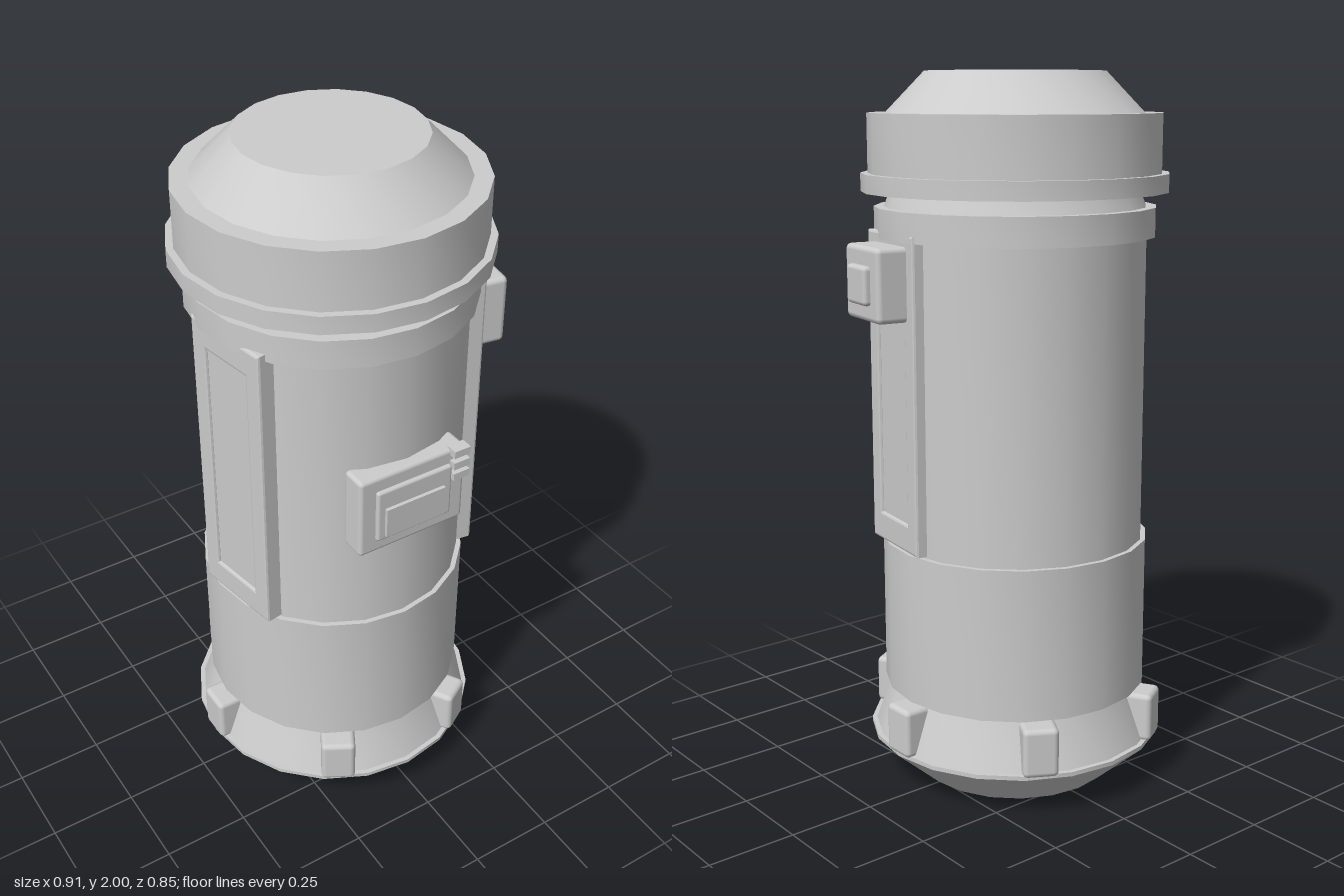
import * as THREE from 'three';
import { toCreasedNormals } from 'three/addons/utils/BufferGeometryUtils.js';
import { RoundedBoxGeometry } from 'three/addons/geometries/RoundedBoxGeometry.js';

const grey = new THREE.MeshStandardMaterial({ color: 0xcccccc });
grey.name = 'light grey';

function add(parent, name, geometry, x = 0, y = 0, z = 0) {
  const mesh = new THREE.Mesh(geometry, grey);
  mesh.name = name;
  mesh.position.set(x, y, z);
  parent.add(mesh);
  return mesh;
}

// Turned part with 20 sides: smooth around, sharp at the rims
function turned(parent, name, profile) {
  const points = profile.map(([r, y]) => new THREE.Vector2(r, y));
  return add(parent, name, toCreasedNormals(new THREE.LatheGeometry(points, 20), 0.5));
}

// Soft-edged block given by its bounds
function block(parent, name, x0, x1, y0, y1, z0, z1, radius = 0.012) {
  const geometry = new RoundedBoxGeometry(x1 - x0, y1 - y0, z1 - z0, 2, radius);
  return add(parent, name, geometry, (x0 + x1) / 2, (y0 + y1) / 2, (z0 + z1) / 2);
}

function outline(PathType, x0, x1, y0, y1) {
  return new PathType().moveTo(x0, y0).lineTo(x1, y0).lineTo(x1, y1).lineTo(x0, y1).closePath();
}

// Flat side panel with a bevelled frame around a shallow recess; faces local +z
function sidePanel(side) {
  const group = new THREE.Group();
  group.name = side > 0 ? 'leftPanel' : 'rightPanel';
  const cx = -0.025 * side;
  const b = 0.007;
  const shape = new THREE.Shape();
  shape.setFromPoints(outline(THREE.Path, cx - 0.135 + b, cx + 0.135 - b, 0.71 + b, 1.58 - b).getPoints());
  const hole = new THREE.Path();
  hole.setFromPoints(outline(THREE.Path, cx - 0.08 - b, cx + 0.08 + b, 0.79 - b, 1.5 + b).getPoints());
  shape.holes.push(hole);
  const frame = new THREE.ExtrudeGeometry(shape, {
    depth: 0.062, bevelEnabled: true, bevelSize: b, bevelThickness: b, bevelSegments: 2,
  });
  add(group, 'panelFrame', frame, 0, 0, 0.307);
  add(group, 'panelInset', new THREE.BoxGeometry(0.17, 0.72, 0.05), cx, 1.145, 0.343);
  group.rotation.y = side * THREE.MathUtils.degToRad(81);
  return group;
}

export function createModel() {
  const model = new THREE.Group();
  model.name = 'canister';
  const tank = new THREE.Group();
  tank.name = 'tank';
  tank.position.x = -0.025;
  model.add(tank);

  // Base, body and lid
  turned(tank, 'base', [[0, 0], [0.285, 0], [0.424, 0.123], [0.424, 0.135], [0.41, 0.135], [0.358, 0.28], [0, 0.28]]);
  turned(tank, 'lowerBody', [[0, 0.274], [0.38, 0.274], [0.38, 0.705], [0, 0.705]]);
  turned(tank, 'upperBody', [[0.36, 0.69], [0.366, 0.69], [0.366, 1.57]]);
  turned(tank, 'collar', [[0, 1.56], [0.39, 1.56], [0.39, 1.64], [0.362, 1.64], [0.345, 1.685], [0, 1.685]]);
  turned(tank, 'lid', [[0, 1.68], [0.425, 1.68], [0.425, 1.73], [0.405, 1.73], [0.405, 1.89], [0.355, 1.89],
    [0.248, 2], [0, 2]]);

  // Lugs around the base
  for (let i = 0; i < 6; i++) {
    const lug = new THREE.Group();
    lug.name = 'baseLug';
    lug.rotation.y = Math.PI / 2 + (i * Math.PI) / 3;
    block(lug, 'lugBlock', -0.05, 0.05, 0.13, 0.27, 0.33, 0.43, 0.015);
    tank.add(lug);
  }

  // Side panels, one with a switch box
  const leftPanel = sidePanel(1);
  block(leftPanel, 'switchBox', -0.126, 0.074, 1.35, 1.55, 0.36, 0.46, 0.015);
  block(leftPanel, 'switchButton', -0.08, 0.03, 1.395, 1.5, 0.44, 0.479);
  tank.add(leftPanel, sidePanel(-1));

  // Front control plate
  const control = new THREE.Group();
  control.name = 'controlPlate';
  block(control, 'plate', -0.19, 0.14, 0.99, 1.233, 0.32, 0.397);
  block(control, 'displayFrame', -0.142, 0.092, 1.03, 1.19, 0.38, 0.408, 0.008);
  add(control, 'display', new THREE.BoxGeometry(0.185, 0.088, 0.02), -0.027, 1.09, 0.408);
  for (const y of [1.154, 1.189, 1.226]) {
    add(control, 'clip', new THREE.BoxGeometry(0.05, 0.022, 0.035), 0.115, y, 0.4);
  }
  model.add(control);
  return model;
}
